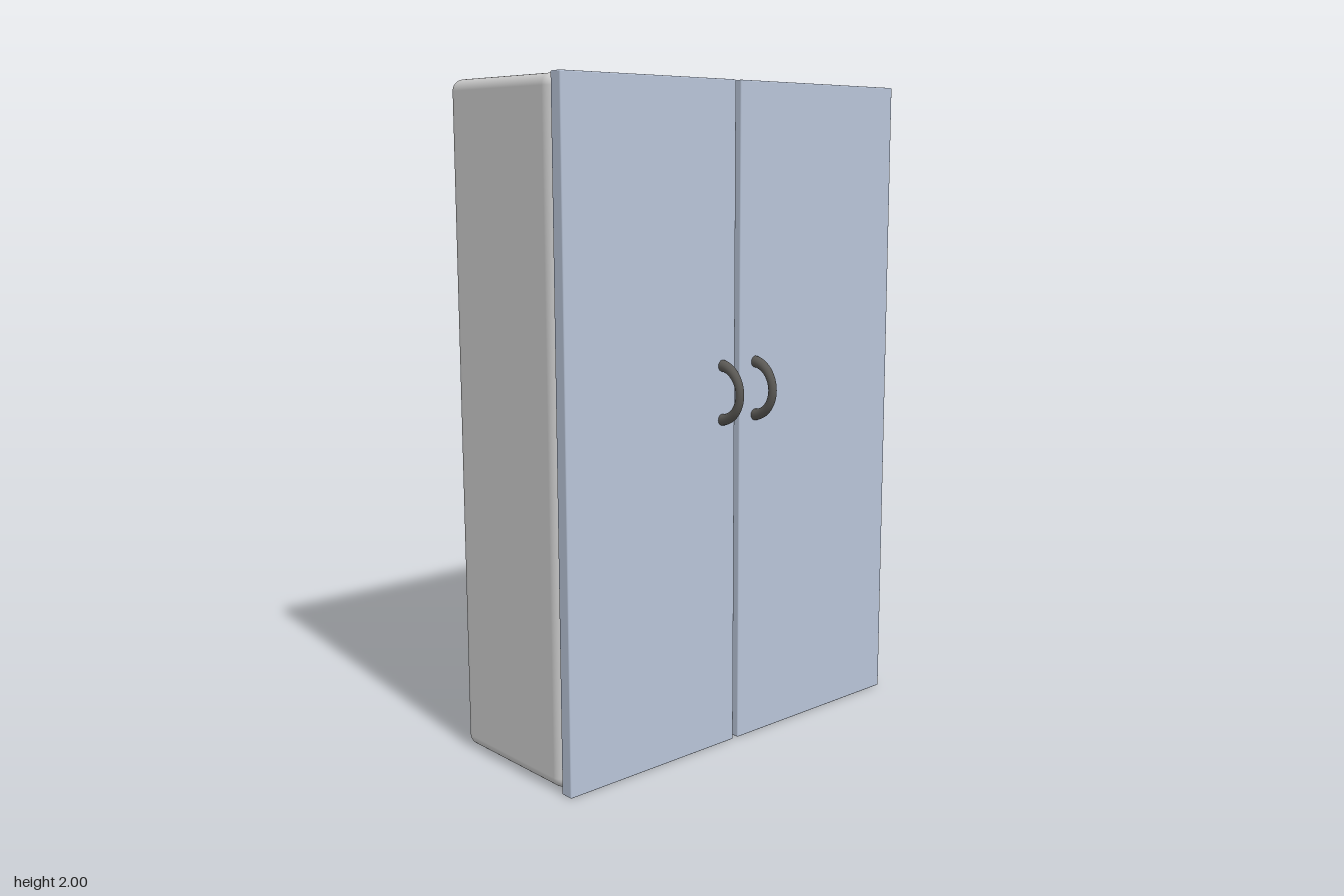
import * as THREE from 'three';
import { RoundedBoxGeometry } from 'three/addons/geometries/RoundedBoxGeometry.js';

const bodyMat = new THREE.MeshStandardMaterial({ color: 0xcccccc });
const doorMat = new THREE.MeshStandardMaterial({ color: 0xb8c4d8 });
const handleMat = new THREE.MeshStandardMaterial({ color: 0x5a5854 });

// Rounded box given by its minimum and maximum corners
function roundedBox(name, min, max, radius, segments, material) {
  const [w, h, d] = max.map((v, i) => v - min[i]);
  const mesh = new THREE.Mesh(new RoundedBoxGeometry(w, h, d, segments, radius), material);
  mesh.position.set(...max.map((v, i) => (v + min[i]) / 2));
  mesh.name = name;
  return mesh;
}

// Half-ring pull, thick at the door and slimmer at the middle
function handleGeometry() {
  const R = 0.081, r = 0.018;
  const geo = new THREE.TorusGeometry(R, r, 16, 32, Math.PI);
  geo.rotateZ(-Math.PI / 2);
  const pos = geo.attributes.position;
  for (let i = 0; i < pos.count; i++) {
    const x = pos.getX(i), y = pos.getY(i);
    const len = Math.hypot(x, y);
    const taper = 1 - 0.3 * Math.max(0, x / len);
    const k = (R + (len - R) * taper) / len;
    pos.setXYZ(i, x * k, y * k, pos.getZ(i) * taper);
  }
  geo.computeVertexNormals();
  return geo;
}

export function createModel() {
  const model = new THREE.Group();
  model.name = 'wardrobe';

  // Cabinet body
  model.add(roundedBox('cabinetBody', [-0.305, 0.005, -0.665], [0.172, 1.997, 0.663], 0.033, 5, bodyMat));

  // Two doors on the +x face, each with a handle beside the gap
  const geo = handleGeometry();
  const doors = [
    { side: 'right', z0: 0.028, z1: 0.662, handleZ: 0.079 },
    { side: 'left', z0: -0.664, z1: 0.009, handleZ: -0.057 },
  ];
  for (const { side, z0, z1, handleZ } of doors) {
    model.add(roundedBox(side + 'Door', [0.176, 0, z0], [0.218, 2, z1], 0.004, 2, doorMat));
    const handle = new THREE.Mesh(geo, handleMat);
    handle.position.set(0.21, 1.095, handleZ);
    handle.name = side + 'Handle';
    model.add(handle);
  }
  return model;
}
